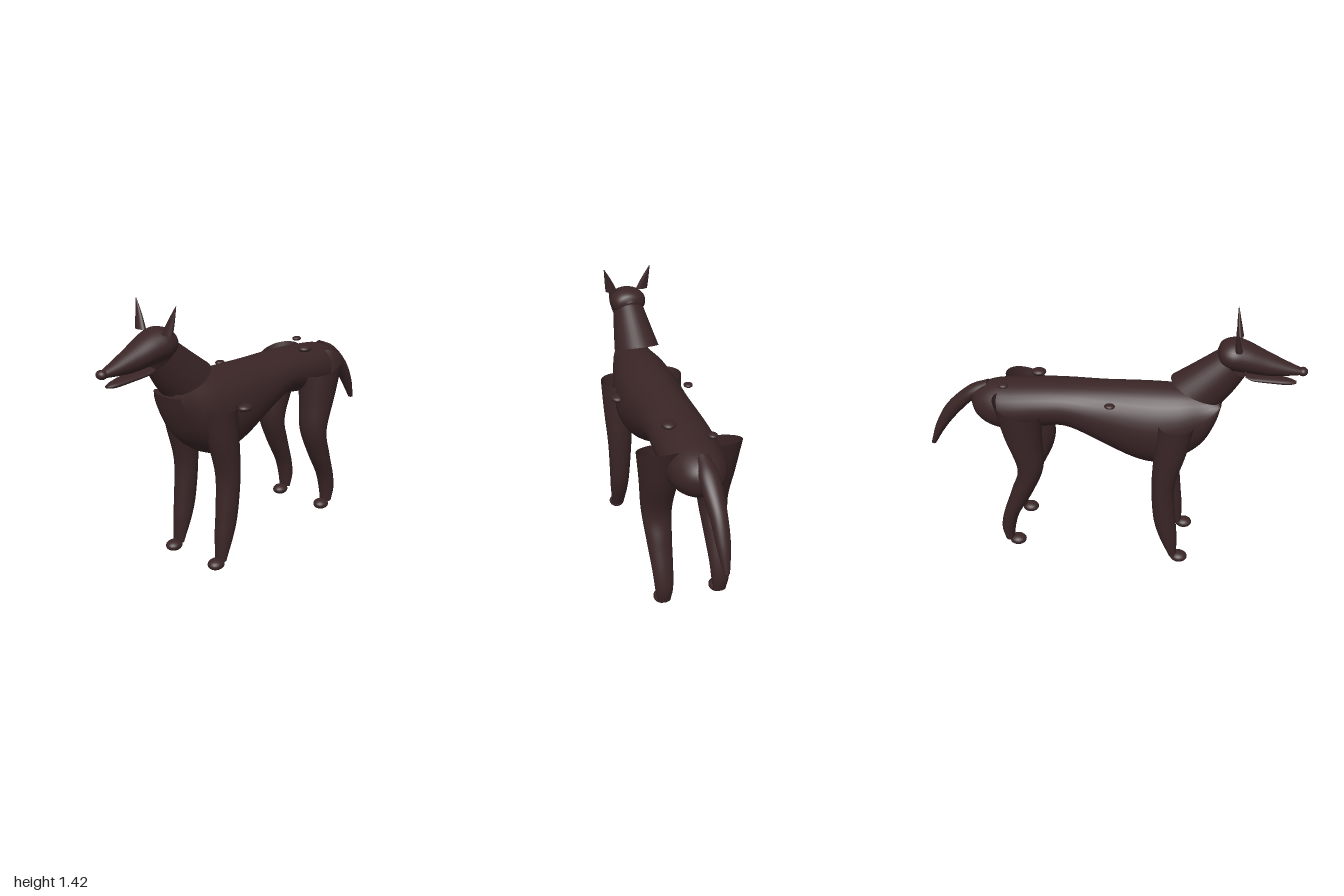
import * as THREE from 'three';

const coat = new THREE.MeshStandardMaterial({ color: 0x3a2526, side: THREE.DoubleSide });
coat.name = 'dark brown coat';

// Smooth tube through elliptical rings. Each section is
// [y1, z1, y2, z2, halfWidth, x]: two opposite rim points, and the width across x.
function loft(name, sections, { side = 1, capStart = false, capEnd = false, seg = 32, steps = 6 } = {}) {
  const curve = (pick) => new THREE.CatmullRomCurve3(sections.map(pick), false, 'catmullrom', 0.5);
  const rimA = curve((s) => new THREE.Vector3(0, s[0], s[1]));
  const rimB = curve((s) => new THREE.Vector3(0, s[2], s[3]));
  const width = curve((s) => new THREE.Vector3(s[4], (s[5] || 0) * side, 0));
  const rows = (sections.length - 1) * steps;
  const pos = [], index = [], rings = [];
  for (let i = 0; i <= rows; i++) {
    const a = rimA.getPoint(i / rows), b = rimB.getPoint(i / rows), w = width.getPoint(i / rows);
    const mid = a.clone().add(b).multiplyScalar(0.5);
    const half = a.clone().sub(b).multiplyScalar(0.5);
    const ring = [];
    for (let j = 0; j < seg; j++) {
      const t = (j / seg) * Math.PI * 2;
      ring.push([w.y + w.x * Math.cos(t), mid.y + half.y * Math.sin(t), mid.z + half.z * Math.sin(t)]);
    }
    ring.centre = [w.y, mid.y, mid.z];
    rings.push(ring);
    ring.forEach((p) => pos.push(...p));
  }
  for (let i = 0; i < rows; i++) {
    for (let j = 0; j < seg; j++) {
      const k = (j + 1) % seg;
      const a = i * seg + j, b = i * seg + k, c = a + seg, d = b + seg;
      index.push(a, b, c, b, d, c);
    }
  }
  const cap = (ring, flip) => {
    const base = pos.length / 3;
    ring.forEach((p) => pos.push(...p));
    pos.push(...ring.centre);
    for (let j = 0; j < seg; j++) {
      const a = base + j, b = base + ((j + 1) % seg);
      if (flip) index.push(b, a, base + seg);
      else index.push(a, b, base + seg);
    }
  };
  if (capStart) cap(rings[0], true);
  if (capEnd) cap(rings[rows], false);
  const geo = new THREE.BufferGeometry();
  geo.setAttribute('position', new THREE.Float32BufferAttribute(pos, 3));
  geo.setIndex(index);
  geo.computeVertexNormals();
  const mesh = new THREE.Mesh(geo, coat);
  mesh.name = name;
  return mesh;
}

function ellipsoid(name, x, y, z, rx, ry, rz) {
  const mesh = new THREE.Mesh(new THREE.SphereGeometry(1, 24, 16), coat);
  mesh.name = name;
  mesh.position.set(x, y, z);
  mesh.scale.set(rx, ry, rz);
  return mesh;
}

export function createModel() {
  const dog = new THREE.Group();
  dog.name = 'dog';
  const closed = { capStart: true, capEnd: true };

  // Torso from rump to chest, with a deep ribcage and tucked belly
  dog.add(loft('torso', [
    [0.87, -0.735, 0.83, -0.735, 0.02],
    [0.925, -0.69, 0.755, -0.685, 0.095],
    [0.96, -0.61, 0.71, -0.6, 0.138],
    [0.975, -0.5, 0.705, -0.5, 0.154],
    [0.99, -0.34, 0.738, -0.34, 0.153],
    [0.998, -0.2, 0.75, -0.2, 0.15],
    [1.005, -0.02, 0.67, -0.02, 0.16],
    [1.015, 0.15, 0.592, 0.15, 0.175],
    [1.02, 0.28, 0.57, 0.28, 0.178],
    [1.02, 0.4, 0.615, 0.4, 0.163],
    [1.01, 0.5, 0.71, 0.51, 0.13],
    [0.995, 0.56, 0.84, 0.57, 0.11],
    [0.98, 0.585, 0.95, 0.595, 0.09],
  ], closed));

  // Neck, an open sleeve
  dog.add(loft('neck', [
    [1.07, 0.33, 0.96, 0.6, 0.122],
    [1.15, 0.44, 1.03, 0.65, 0.105],
    [1.24, 0.56, 1.115, 0.7, 0.085],
  ]));

  // Head, lower jaw and nose
  dog.add(loft('head', [
    [1.245, 0.553, 1.215, 0.556, 0.02],
    [1.285, 0.575, 1.175, 0.575, 0.075],
    [1.305, 0.635, 1.15, 0.62, 0.1],
    [1.29, 0.7, 1.14, 0.7, 0.09],
    [1.245, 0.8, 1.128, 0.8, 0.066],
    [1.205, 0.89, 1.132, 0.89, 0.044],
    [1.175, 0.965, 1.14, 0.965, 0.024],
  ], closed));
  dog.add(loft('lowerJaw', [
    [1.13, 0.7, 1.12, 0.7, 0.05],
    [1.127, 0.74, 1.098, 0.74, 0.054],
    [1.12, 0.83, 1.088, 0.83, 0.044],
    [1.11, 0.91, 1.082, 0.91, 0.03],
    [1.1, 0.95, 1.088, 0.95, 0.012],
  ], closed));
  dog.add(ellipsoid('nose', 0, 1.157, 0.975, 0.028, 0.022, 0.025));

  // Tail
  dog.add(loft('tail', [
    [0.885, -0.65, 0.965, -0.64, 0.035],
    [0.835, -0.73, 0.915, -0.75, 0.05],
    [0.72, -0.84, 0.8, -0.875, 0.042],
    [0.62, -0.915, 0.67, -0.95, 0.033],
    [0.53, -0.97, 0.535, -0.995, 0.014],
  ], closed));

  // Paired ears, legs and paws
  for (const side of [1, -1]) {
    const label = side > 0 ? 'left' : 'right';
    dog.add(loft(label + 'Ear', [
      [1.285, 0.64, 1.285, 0.675, 0.033, 0.088],
      [1.35, 0.637, 1.35, 0.658, 0.02, 0.107],
      [1.42, 0.637, 1.42, 0.64, 0.002, 0.13],
    ], { side, capStart: true }));
    dog.add(loft(label + 'FrontLeg', [
      [0.87, 0.47, 0.87, 0.285, 0.09, 0.14],
      [0.7, 0.437, 0.7, 0.272, 0.08, 0.145],
      [0.5, 0.387, 0.5, 0.264, 0.067, 0.148],
      [0.3, 0.398, 0.3, 0.278, 0.057, 0.15],
      [0.18, 0.41, 0.18, 0.308, 0.05, 0.151],
      [0.04, 0.415, 0.04, 0.37, 0.035, 0.153],
    ], { side, capEnd: true }));
    dog.add(loft(label + 'HindLeg', [
      [0.855, -0.325, 0.945, -0.575, 0.125, 0.14],
      [0.7, -0.322, 0.74, -0.525, 0.1, 0.146],
      [0.53, -0.322, 0.53, -0.46, 0.08, 0.15],
      [0.37, -0.385, 0.38, -0.5, 0.066, 0.152],
      [0.22, -0.465, 0.22, -0.553, 0.054, 0.153],
      [0.12, -0.495, 0.12, -0.57, 0.047, 0.153],
      [0.04, -0.505, 0.04, -0.555, 0.035, 0.153],
    ], { side, capEnd: true }));
    dog.add(ellipsoid(label + 'FrontPaw', 0.153 * side, 0.028, 0.427, 0.042, 0.028, 0.047));
    dog.add(ellipsoid(label + 'HindPaw', 0.153 * side, 0.028, -0.485, 0.042, 0.028, 0.047));
  }

  // Raised spots on the coat
  const spots = [
    [0.178, 0.84, 0.23, 0.042],
    [-0.16, 0.96, 0.04, 0.027],
    [0.085, 0.99, -0.38, 0.04],
    [-0.085, 0.985, -0.53, 0.027],
  ];
  spots.forEach(([x, y, z, r], i) => dog.add(ellipsoid('spot' + (i + 1), x, y, z, r * 0.9, r * 0.45, r)));

  return dog;
}
